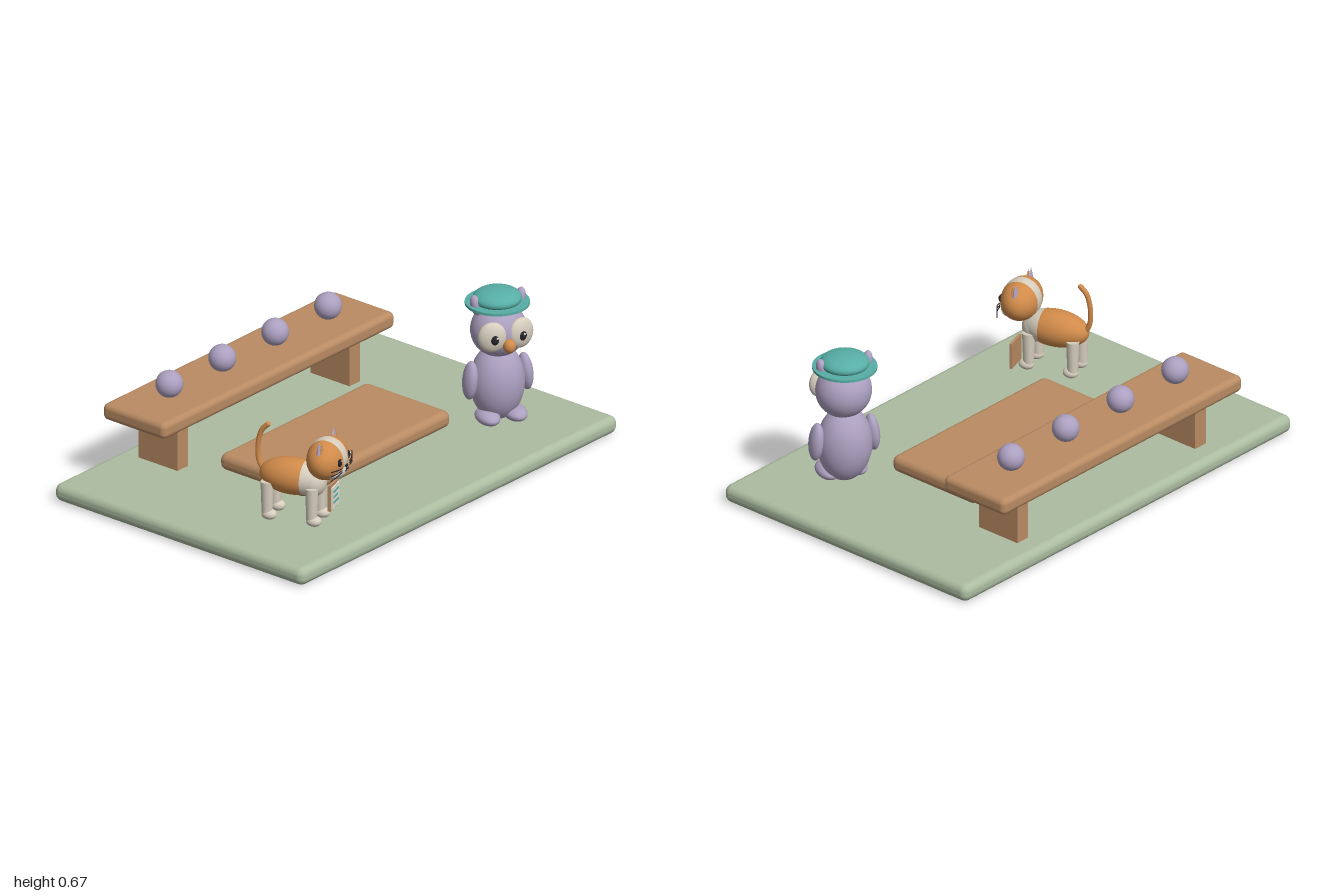
import * as THREE from 'three';
import { RoundedBoxGeometry } from 'three/addons/geometries/RoundedBoxGeometry.js';

function mat(name, color) {
  const m = new THREE.MeshStandardMaterial({ color });
  m.name = name;
  return m;
}

export function createModel() {
  const sage = mat('sage', 0xabbca0), wood = mat('wood', 0xb98b63), lavender = mat('lavender', 0xaca0c0);
  const teal = mat('teal', 0x57aea6), orange = mat('orange', 0xd18b4a), cream = mat('cream', 0xd6cdbd);
  const dark = mat('dark', 0x26242a), paper = mat('paper', 0xe4e0d4);

  const add = (parent, name, geometry, material, x = 0, y = 0, z = 0) => {
    const m = new THREE.Mesh(geometry, material);
    m.name = name;
    m.position.set(x, y, z);
    parent.add(m);
    return m;
  };
  const ball = (parent, name, material, [x, y, z], [rx, ry, rz]) => {
    const m = add(parent, name, new THREE.SphereGeometry(1, 32, 22), material, x, y, z);
    m.scale.set(rx, ry, rz);
    return m;
  };
  // part of an ellipsoid between two polar angles, pole along x or z
  const zone = (parent, name, material, axis, from, to, [x, y, z], [rx, ry, rz]) => {
    const g = new THREE.SphereGeometry(1, 36, 14, 0, Math.PI * 2, from, to - from);
    if (axis === 'x') g.rotateZ(-Math.PI / 2);
    else g.rotateX(Math.PI / 2);
    g.scale(rx, ry, rz);
    return add(parent, name, g, material, x, y, z);
  };
  const tube = (parent, name, material, points, r) => add(parent, name, new THREE.TubeGeometry(
    new THREE.CatmullRomCurve3(points.map(p => new THREE.Vector3(...p))), 24, r, 8), material);

  const model = new THREE.Group();
  model.name = 'scene';

  // ground slab, low platform and bench
  add(model, 'ground', new RoundedBoxGeometry(2, 0.078, 1.33, 5, 0.034), sage, 0, 0.039, 0);
  add(model, 'platform', new RoundedBoxGeometry(0.935, 0.074, 0.456, 5, 0.03), wood, -0.003, 0.12, -0.002);
  const bench = new THREE.Group();
  bench.name = 'bench';
  model.add(bench);
  add(bench, 'benchTop', new RoundedBoxGeometry(1.46, 0.073, 0.335, 5, 0.025), wood, -0.004, 0.318, -0.462);
  for (const s of [-1, 1])
    add(bench, 'benchLeg', new THREE.BoxGeometry(0.066, 0.215, 0.208), wood, s * 0.542 - 0.004, 0.183, -0.459);
  for (let i = 0; i < 4; i++)
    ball(bench, 'benchBall', lavender, [-0.504 + i * 0.3335, 0.411, -0.462], [0.057, 0.057, 0.057]);

  // owl with hat
  const owl = new THREE.Group();
  owl.name = 'owl';
  owl.position.set(0.642, 0, 0.317);
  owl.rotation.y = -0.47;
  model.add(owl);
  ball(owl, 'owlBody', lavender, [0, 0.255, 0], [0.115, 0.165, 0.105]);
  ball(owl, 'owlHead', lavender, [0, 0.493, 0.012], [0.117, 0.115, 0.11]);
  for (const s of [-1, 1]) {
    ball(owl, 'owlWing', lavender, [s * 0.122, 0.28, 0.005], [0.03, 0.083, 0.044]).rotation.z = s * 0.1;
    ball(owl, 'owlFoot', lavender, [s * 0.06, 0.122, 0.04], [0.048, 0.031, 0.075]);
    ball(owl, 'owlEarTuft', lavender, [s * 0.098, 0.612, 0.005], [0.022, 0.046, 0.026]).rotation.z = -s * 0.2;
    ball(owl, 'owlEyeDisc', cream, [s * 0.063, 0.5, 0.096], [0.06, 0.066, 0.03]).rotation.y = s * 0.25;
    ball(owl, 'owlPupil', dark, [s * 0.06, 0.497, 0.12], [0.019, 0.023, 0.013]);
    ball(owl, 'owlEyeGlint', paper, [s * 0.06 + 0.006, 0.506, 0.131], [0.005, 0.005, 0.004]);
  }
  ball(owl, 'owlBeak', orange, [0, 0.463, 0.127], [0.026, 0.03, 0.03]);
  add(owl, 'hatBrim', new THREE.CylinderGeometry(0.133, 0.133, 0.011, 48), teal, 0, 0.608, 0);
  ball(owl, 'hatCrown', teal, [0, 0.628, 0], [0.102, 0.041, 0.1]);

  // cat
  const cat = new THREE.Group();
  cat.name = 'cat';
  cat.position.set(-0.637, 0, 0.31);
  cat.rotation.y = 0.33;
  model.add(cat);
  const bodyAt = [0, 0.275, 0], bodySize = [0.078, 0.078, 0.145];
  zone(cat, 'catChest', cream, 'z', 0, 1.2, bodyAt, bodySize);
  zone(cat, 'catBody', orange, 'z', 1.2, Math.PI, bodyAt, bodySize);
  ball(cat, 'catBib', cream, [0, 0.265, 0.085], [0.06, 0.065, 0.06]);

  // head with a forehead stripe
  const headAt = [0, 0.38, 0.15], headSize = [0.113, 0.088, 0.082];
  zone(cat, 'catHeadLeft', orange, 'x', 0, 1.36, headAt, headSize);
  zone(cat, 'catHeadStripe', cream, 'x', 1.36, Math.PI - 1.36, headAt, headSize);
  zone(cat, 'catHeadRight', orange, 'x', Math.PI - 1.36, Math.PI, headAt, headSize);
  ball(cat, 'catCheeks', cream, [0, 0.337, 0.183], [0.075, 0.036, 0.05]);
  ball(cat, 'catNose', dark, [0, 0.36, 0.233], [0.01, 0.007, 0.007]);
  for (const s of [-1, 1]) {
    // ears: cone with an inner face
    const ear = add(cat, 'catEar', new THREE.ConeGeometry(0.034, 0.07, 20), lavender, s * 0.077, 0.447, 0.145);
    ear.scale.z = 0.5;
    ear.rotation.z = -s * 0.25;
    const inner = add(cat, 'catInnerEar', new THREE.ConeGeometry(0.025, 0.056, 20), orange, s * 0.076, 0.445, 0.156);
    inner.scale.z = 0.45;
    inner.rotation.z = -s * 0.25;
    ball(cat, 'catEye', dark, [s * 0.047, 0.388, 0.222], [0.014, 0.017, 0.009]);
    ball(cat, 'catEyeGlint', paper, [s * 0.047 + 0.004, 0.395, 0.23], [0.004, 0.004, 0.003]);
    tube(cat, 'catMouth', dark, [[0, 0.352, 0.235], [s * 0.01, 0.34, 0.235], [s * 0.022, 0.343, 0.233]], 0.0022);
    for (let i = -1; i <= 1; i++)
      tube(cat, 'catWhisker', dark, [[s * 0.04, 0.352 + i * 0.008, 0.23], [s * 0.08, 0.355 + i * 0.013, 0.226],
        [s * 0.118, 0.352 + i * 0.02, 0.21]], 0.0022);
    for (const z of [-0.095, 0.1]) {
      add(cat, 'catLeg', new THREE.CylinderGeometry(0.027, 0.022, 0.15, 20), cream, s * 0.048, 0.18, z);
      ball(cat, 'catPaw', cream, [s * 0.048, 0.11, z + 0.009], [0.027, 0.023, 0.033]);
    }
  }
  tube(cat, 'catTail', orange, [[0, 0.27, -0.12], [0, 0.32, -0.149], [0, 0.4, -0.152], [0, 0.46, -0.135],
    [0, 0.487, -0.11]], 0.011);
  ball(cat, 'catTailTip', orange, [0, 0.487, -0.11], [0.011, 0.011, 0.011]);

  // clipboard held beside the front paw
  const board = new THREE.Group();
  board.name = 'clipboard';
  board.position.set(0.085, 0.178, 0.143);
  cat.add(board);
  add(board, 'boardBack', new THREE.BoxGeometry(0.098, 0.114, 0.012), wood);
  add(board, 'boardPage', new THREE.BoxGeometry(0.082, 0.096, 0.006), paper, 0, -0.002, 0.008);
  [0.024, 0, -0.024].forEach((y, i) =>
    add(board, 'pageLine', new THREE.BoxGeometry(i === 1 ? 0.045 : 0.058, 0.008, 0.003), teal, i === 1 ? -0.006 : 0, y, 0.012));

  return model;
}
